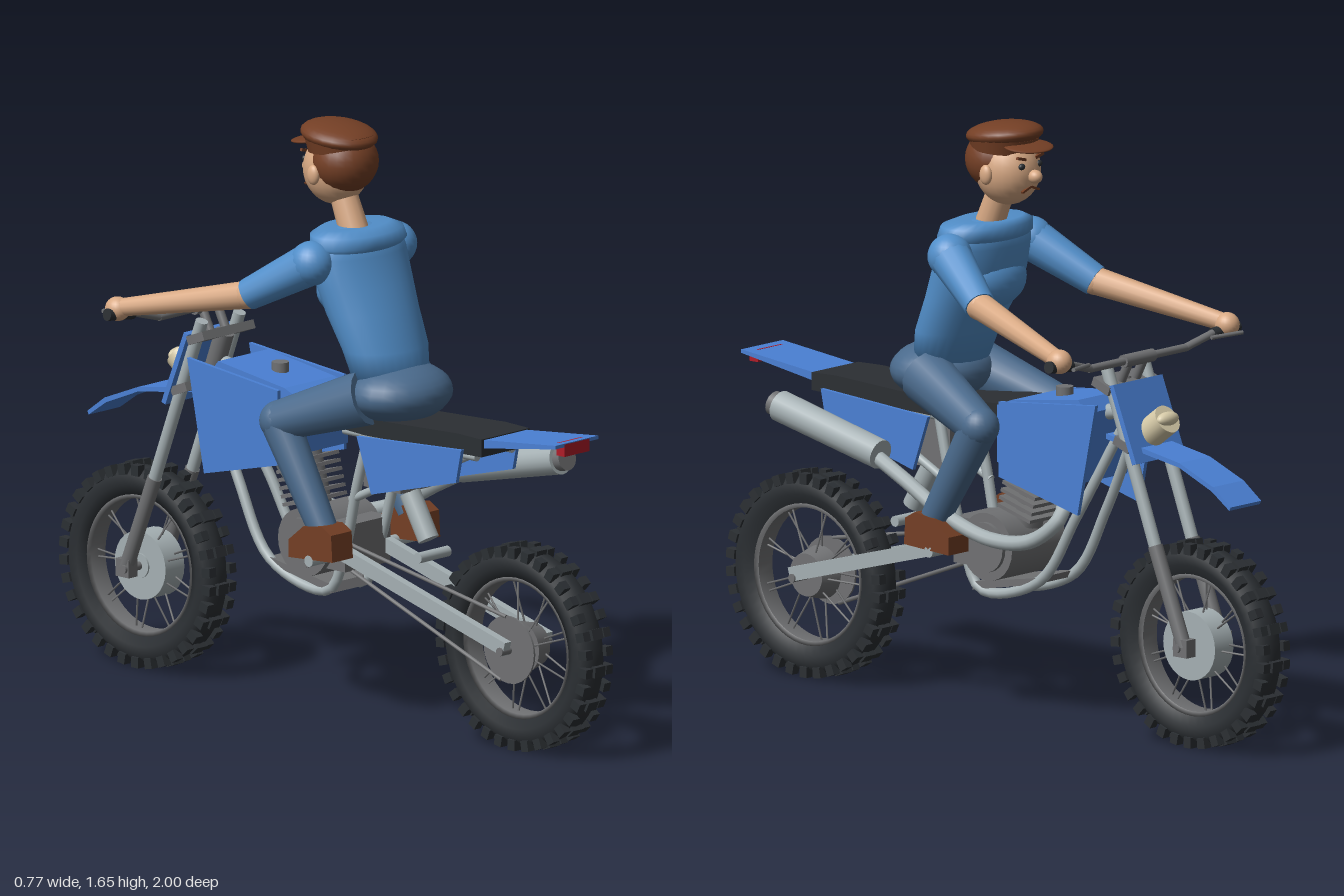
import * as THREE from 'three';

const V = (x, y, z) => new THREE.Vector3(x, y, z);
const mat = (name, color) => Object.assign(new THREE.MeshStandardMaterial({ color }), { name });
const M = {
  black: mat('rubber black', 0x2b2f33), blue: mat('body blue', 0x4a80d4),
  shirt: mat('shirt blue', 0x528fca), jeans: mat('denim', 0x4a6a8c),
  skin: mat('skin', 0xd8a984), brown: mat('leather brown', 0x743f25),
  grey: mat('dark metal', 0x707173), silver: mat('light metal', 0xa5b0b3),
  red: mat('tail light red', 0xb01c28), cream: mat('lamp cream', 0xd6caa8),
};

export function createModel() {
  const root = new THREE.Group();
  root.name = 'motocrossRider';
  const add = (name, geo, m, parent = root) => {
    const mesh = new THREE.Mesh(geo, m);
    mesh.name = name;
    parent.add(mesh);
    return mesh;
  };
  const group = (name) => {
    const g = new THREE.Group();
    g.name = name;
    root.add(g);
    return g;
  };
  // tapered rod from a to b
  const rod = (name, a, b, ra, rb, m, parent, sides = 14) => {
    const d = b.clone().sub(a);
    const mesh = add(name, new THREE.CylinderGeometry(rb, ra, d.length(), sides), m, parent);
    mesh.position.copy(a).addScaledVector(d, 0.5);
    mesh.quaternion.setFromUnitVectors(V(0, 1, 0), d.normalize());
    return mesh;
  };
  const box = (name, x, y, z, w, h, d, m, parent, rx = 0) => {
    const mesh = add(name, new THREE.BoxGeometry(w, h, d), m, parent);
    mesh.position.set(x, y, z);
    mesh.rotation.x = rx;
    return mesh;
  };
  const ball = (name, x, y, z, rx, ry, rz, m, parent) => {
    const mesh = add(name, new THREE.SphereGeometry(1, 24, 16), m, parent);
    mesh.position.set(x, y, z);
    mesh.scale.set(rx, ry, rz);
    return mesh;
  };
  // side profile of [z, y] points, extruded across x
  const slab = (name, pts, x, width, m, parent) => {
    const shape = new THREE.Shape(pts.map(([z, y]) => new THREE.Vector2(z, y)));
    const geo = new THREE.ExtrudeGeometry(shape, { depth: width, bevelEnabled: false });
    geo.translate(0, 0, -width / 2).rotateY(-Math.PI / 2);
    const mesh = add(name, geo, m, parent);
    mesh.position.x = x;
    return mesh;
  };
  const pipe = (name, pts, r, m, parent) =>
    add(name, new THREE.TubeGeometry(new THREE.CatmullRomCurve3(pts), 40, r, 10), m, parent);
  // stacked elliptical rings [y, z, rx, rz]
  const loft = (name, rings, m, parent, n = 28) => {
    const pos = [], idx = [];
    rings.forEach(([y, z, rx, rz], i) => {
      for (let j = 0; j < n; j++) {
        const t = (j / n) * Math.PI * 2;
        pos.push(Math.cos(t) * rx, y, z + Math.sin(t) * rz);
        if (i === rings.length - 1) continue;
        const a = i * n + j, b = i * n + (j + 1) % n;
        idx.push(a, a + n, b, b, a + n, b + n);
      }
    });
    const geo = new THREE.BufferGeometry();
    geo.setAttribute('position', new THREE.Float32BufferAttribute(pos, 3));
    geo.setIndex(idx);
    geo.computeVertexNormals();
    return add(name, geo, m, parent);
  };

  // Wheels: knobbly tyre, rim, spokes, hub
  const wheel = (name, z) => {
    const g = group(name);
    g.position.set(0, 0.289, z);
    const ring = (label, pts, m) =>
      add(label, new THREE.LatheGeometry(pts.map(([r, x]) => new THREE.Vector2(r, x)), 48), m, g).rotation.z = Math.PI / 2;
    ring('tyre', [[0.195, -0.03], [0.225, -0.046], [0.255, -0.046], [0.272, -0.028], [0.276, 0],
      [0.272, 0.028], [0.255, 0.046], [0.225, 0.046], [0.195, 0.03], [0.195, -0.03]], M.black);
    ring('rim', [[0.186, -0.028], [0.198, -0.034], [0.198, 0.034], [0.186, 0.028], [0.186, -0.028]], M.grey);
    for (let i = 0; i < 34; i++) {
      const lug = new THREE.Group();
      lug.rotation.x = (i / 34) * Math.PI * 2;
      g.add(lug);
      for (const s of [-1, 1]) box('sideKnob', s * 0.04, 0.27, 0, 0.026, 0.03, 0.026, M.black, lug);
      if (i % 2) box('centreKnob', 0, 0.277, 0, 0.04, 0.022, 0.03, M.black, lug);
    }
    for (let i = 0; i < 18; i++) {
      const t = (i / 18) * Math.PI * 2, u = t + (i % 2 ? 0.12 : -0.12);
      rod('spoke', V(i % 2 ? 0.025 : -0.025, 0.03 * Math.cos(t), 0.03 * Math.sin(t)),
        V(0, 0.192 * Math.cos(u), 0.192 * Math.sin(u)), 0.003, 0.003, M.grey, g, 5);
    }
    rod('hub', V(-0.035, 0, 0), V(0.035, 0, 0), 0.035, 0.035, M.silver, g, 20);
    rod('axle', V(-0.1, 0, 0), V(0.1, 0, 0), 0.012, 0.012, M.grey, g);
    return g;
  };
  const rear = wheel('rearWheel', 0.711), front = wheel('frontWheel', -0.711);
  rod('brakeDrum', V(-0.03, 0, 0), V(0.045, 0, 0), 0.096, 0.096, M.silver, front, 28);
  rod('rearHub', V(-0.02, 0, 0), V(0.04, 0, 0), 0.075, 0.06, M.grey, rear, 24);
  rod('sprocket', V(-0.062, 0, 0), V(-0.056, 0, 0), 0.095, 0.095, M.grey, rear, 24);

  // Bodywork
  const body = group('bodywork');
  slab('rearFender', [[0.91, 0.9], [0.91, 0.89], [0.55, 0.835], [0.2, 0.82], [0.2, 0.835], [0.6, 0.868]], 0, 0.17, M.blue, body);
  slab('seat', [[0.64, 0.875], [0.64, 0.825], [0.2, 0.815], [-0.08, 0.83], [-0.08, 0.885], [0.25, 0.865], [0.55, 0.878]], 0, 0.19, M.black, body);
  box('tailLight', 0, 0.88, 0.895, 0.1, 0.035, 0.03, M.red, body);
  slab('tank', [[-0.05, 0.72], [-0.35, 0.7], [-0.38, 0.9], [-0.35, 0.935], [-0.1, 0.9], [-0.05, 0.88]], 0, 0.2, M.blue, body);
  rod('fuelCap', V(0, 0.9, -0.21), V(0, 0.94, -0.21), 0.024, 0.024, M.grey, body);
  for (const s of [-1, 1]) {
    slab('sidePanel', [[0.585, 0.84], [0.19, 0.815], [0.245, 0.66], [0.565, 0.745]], s * 0.113, 0.012, M.blue, body);
    slab('tankShroud', [[-0.09, 0.9], [-0.44, 0.935], [-0.375, 0.62], [-0.09, 0.69]], s * 0.134, 0.012, M.blue, body).rotation.y += s * 0.025;
  }
  slab('frontFender', [[-0.42, 0.845], [-0.69, 0.8], [-0.815, 0.75], [-0.88, 0.702], [-0.875, 0.692],
    [-0.81, 0.737], [-0.69, 0.787], [-0.42, 0.83]], 0, 0.125, M.blue, body);
  slab('frontPlate', [[-0.465, 0.99], [-0.48, 0.995], [-0.565, 0.785], [-0.55, 0.78]], 0, 0.2, M.blue, body);
  rod('headlight', V(0, 0.855, -0.53), V(0, 0.9, -0.59), 0.042, 0.042, M.cream, body, 20);
  ball('lampLens', 0, 0.9, -0.59, 0.041, 0.02, 0.02, M.cream, body);

  // Frame, fork and swingarm
  const frame = group('frame');
  rod('steeringHead', V(0, 0.99, -0.42), V(0, 0.8, -0.49), 0.028, 0.028, M.grey, frame);
  rod('backboneTube', V(0, 0.9, -0.42), V(0, 0.8, 0.1), 0.022, 0.022, M.silver, frame);
  box('upperClamp', 0, 0.985, -0.435, 0.205, 0.025, 0.065, M.grey, frame, -0.37);
  box('lowerClamp', 0, 0.83, -0.505, 0.19, 0.025, 0.06, M.grey, frame, -0.37);
  for (const s of [-1, 1]) {
    rod('forkTube', V(s * 0.075, 1.03, -0.435), V(s * 0.075, 0.5, -0.635), 0.018, 0.018, M.silver, frame);
    rod('forkSlider', V(s * 0.075, 0.56, -0.613), V(s * 0.075, 0.29, -0.72), 0.021, 0.021, M.grey, frame);
    box('axleClamp', s * 0.075, 0.29, -0.72, 0.035, 0.05, 0.05, M.grey, frame);
    pipe('cradleTube', [V(s * 0.03, 0.86, -0.45), V(s * 0.06, 0.6, -0.31), V(s * 0.07, 0.4, -0.18),
      V(s * 0.07, 0.35, 0.04), V(s * 0.07, 0.47, 0.1), V(s * 0.075, 0.66, 0.15), V(s * 0.07, 0.81, 0.19)], 0.015, M.silver, frame);
    rod('seatRail', V(s * 0.07, 0.81, 0.1), V(s * 0.07, 0.815, 0.6), 0.012, 0.012, M.silver, frame);
    rod('seatStay', V(s * 0.075, 0.62, 0.13), V(s * 0.07, 0.8, 0.5), 0.012, 0.012, M.silver, frame);
    const arm = box('swingarm', s * 0.083, 0.385, 0.405, 0.025, 0.04, 0.66, M.silver, frame, 0.27);
    arm.name = 'swingarm';
    rod('footPeg', V(s * 0.06, 0.465, 0.1), V(s * 0.215, 0.465, 0.1), 0.016, 0.016, M.silver, frame);
  }
  rod('shockBody', V(0, 0.53, 0.35), V(0, 0.65, 0.28), 0.03, 0.03, M.silver, frame);
  rod('shockRod', V(0, 0.65, 0.28), V(0, 0.82, 0.19), 0.018, 0.018, M.grey, frame);
  rod('shockMount', V(-0.06, 0.49, 0.365), V(0.06, 0.49, 0.365), 0.015, 0.015, M.silver, frame);
  box('airBox', 0, 0.73, 0.23, 0.12, 0.14, 0.14, M.grey, frame);
  rod('chainTop', V(-0.06, 0.38, 0.7), V(-0.06, 0.49, 0.1), 0.006, 0.006, M.grey, frame, 6);
  rod('chainBottom', V(-0.06, 0.2, 0.68), V(-0.06, 0.42, 0.1), 0.006, 0.006, M.grey, frame, 6);

  // Engine
  const engine = group('engine');
  rod('crankcase', V(-0.11, 0.48, -0.02), V(0.11, 0.48, -0.02), 0.095, 0.095, M.grey, engine, 24);
  rod('caseCover', V(-0.122, 0.48, -0.02), V(0.122, 0.48, -0.02), 0.07, 0.07, M.grey, engine, 24);
  box('gearbox', 0, 0.48, 0.06, 0.18, 0.13, 0.12, M.grey, engine);
  slab('skidPlate', [[0.06, 0.345], [-0.17, 0.39], [-0.18, 0.41], [0.05, 0.37]], 0, 0.16, M.grey, engine);
  rod('cylinder', V(0, 0.54, -0.07), V(0, 0.72, -0.12), 0.045, 0.045, M.grey, engine);
  for (let i = 0; i < 7; i++) box('coolingFin', 0, 0.575 + i * 0.022, -0.08 - i * 0.006, 0.13, 0.01, 0.125, M.grey, engine, -0.27);

  // Exhaust
  const exhaust = group('exhaust');
  pipe('exhaustPipe', [V(0.02, 0.65, -0.16), V(0.07, 0.655, -0.27), V(0.12, 0.6, -0.3), V(0.145, 0.53, -0.22),
    V(0.155, 0.515, -0.08), V(0.16, 0.56, 0.08), V(0.165, 0.64, 0.23), V(0.167, 0.7, 0.35)], 0.021, M.silver, exhaust);
  rod('muffler', V(0.167, 0.7, 0.32), V(0.167, 0.785, 0.69), 0.042, 0.044, M.silver, exhaust, 20);
  rod('mufflerTip', V(0.167, 0.78, 0.67), V(0.167, 0.79, 0.715), 0.034, 0.034, M.grey, exhaust, 20);

  // Handlebars
  const bars = group('handlebars');
  rod('barCentre', V(-0.2, 1.055, -0.48), V(0.2, 1.055, -0.48), 0.011, 0.011, M.grey, bars);
  rod('barPad', V(-0.06, 1.055, -0.48), V(0.06, 1.055, -0.48), 0.018, 0.018, M.grey, bars);
  for (const s of [-1, 1]) {
    rod('riser', V(s * 0.03, 0.98, -0.44), V(s * 0.03, 1.055, -0.478), 0.013, 0.013, M.grey, bars);
    rod('barEnd', V(s * 0.195, 1.055, -0.48), V(s * 0.3, 1.085, -0.495), 0.011, 0.011, M.grey, bars);
    rod('grip', V(s * 0.29, 1.08, -0.493), V(s * 0.385, 1.09, -0.5), 0.017, 0.017, M.black, bars);
    rod('lever', V(s * 0.25, 1.08, -0.525), V(s * 0.345, 1.085, -0.555), 0.006, 0.006, M.grey, bars, 8);
  }

  // Rider: torso, limbs
  const rider = group('rider');
  ball('hips', 0, 0.93, 0.24, 0.16, 0.083, 0.135, M.jeans, rider);
  loft('torso', [[0.96, 0.21, 0, 0], [0.96, 0.21, 0.12, 0.09], [1.05, 0.185, 0.138, 0.098], [1.15, 0.135, 0.15, 0.105],
    [1.22, 0.108, 0.158, 0.105], [1.3, 0.085, 0.165, 0.09], [1.345, 0.08, 0.15, 0.085], [1.37, 0.075, 0.09, 0.05], [1.37, 0.075, 0, 0]], M.shirt, rider);
  ball('chest', 0, 1.2, 0.075, 0.13, 0.085, 0.085, M.shirt, rider);
  loft('collar', [[1.315, 0.085, 0.15, 0.085], [1.33, 0.085, 0.163, 0.1], [1.36, 0.078, 0.155, 0.098], [1.375, 0.07, 0.12, 0.07], [1.365, 0.07, 0, 0]], M.shirt, rider);
  for (const s of [-1, 1]) {
    ball('shoulder', s * 0.165, 1.29, 0.065, 0.062, 0.062, 0.062, M.shirt, rider);
    rod('sleeve', V(s * 0.165, 1.29, 0.065), V(s * 0.235, 1.185, -0.11), 0.06, 0.044, M.shirt, rider);
    ball('elbow', s * 0.235, 1.185, -0.11, 0.04, 0.04, 0.04, M.skin, rider);
    rod('forearm', V(s * 0.235, 1.185, -0.11), V(s * 0.34, 1.105, -0.49), 0.039, 0.025, M.skin, rider, 12);
    ball('hand', s * 0.342, 1.1, -0.5, 0.034, 0.034, 0.036, M.skin, rider);
    rod('thigh', V(s * 0.1, 0.925, 0.21), V(s * 0.172, 0.83, -0.05), 0.078, 0.056, M.jeans, rider);
    ball('knee', s * 0.172, 0.83, -0.05, 0.056, 0.056, 0.056, M.jeans, rider);
    rod('shin', V(s * 0.172, 0.83, -0.05), V(s * 0.172, 0.54, 0.12), 0.055, 0.041, M.jeans, rider);
    slab('boot', [[0.19, 0.475], [0.185, 0.55], [0.15, 0.57], [0.08, 0.56], [0.025, 0.515], [0.025, 0.465]], s * 0.174, 0.082, M.brown, rider);
  }

  // Head and cap
  const head = group('head');
  rod('neck', V(0, 1.35, 0.07), V(0, 1.47, 0.02), 0.042, 0.038, M.skin, head);
  ball('face', 0, 1.52, 0, 0.088, 0.1, 0.094, M.skin, head);
  ball('hair', 0, 1.545, 0.035, 0.095, 0.088, 0.09, M.brown, head);
  ball('nose', 0, 1.51, -0.1, 0.019, 0.019, 0.022, M.skin, head);
  for (const s of [-1, 1]) {
    ball('ear', s * 0.09, 1.515, 0, 0.014, 0.028, 0.02, M.skin, head);
    ball('eye', s * 0.035, 1.54, -0.083, 0.011, 0.009, 0.008, M.black, head);
    box('eyebrow', s * 0.036, 1.562, -0.082, 0.034, 0.008, 0.008, M.brown, head).rotation.z = s * 0.25;
    box('mouth', s * 0.017, 1.474, -0.083, 0.036, 0.006, 0.008, M.brown, head).rotation.z = -s * 0.35;
  }
  ball('capCrown', 0, 1.617, 0.012, 0.102, 0.036, 0.112, M.brown, head).rotation.x = 0.12;
  rod('capBand', V(0, 1.575, 0.018), V(0, 1.615, 0.015), 0.09, 0.098, M.brown, head, 28);
  ball('capPeak', 0, 1.592, -0.075, 0.078, 0.009, 0.062, M.brown, head).rotation.x = -0.12;

  return root;
}
